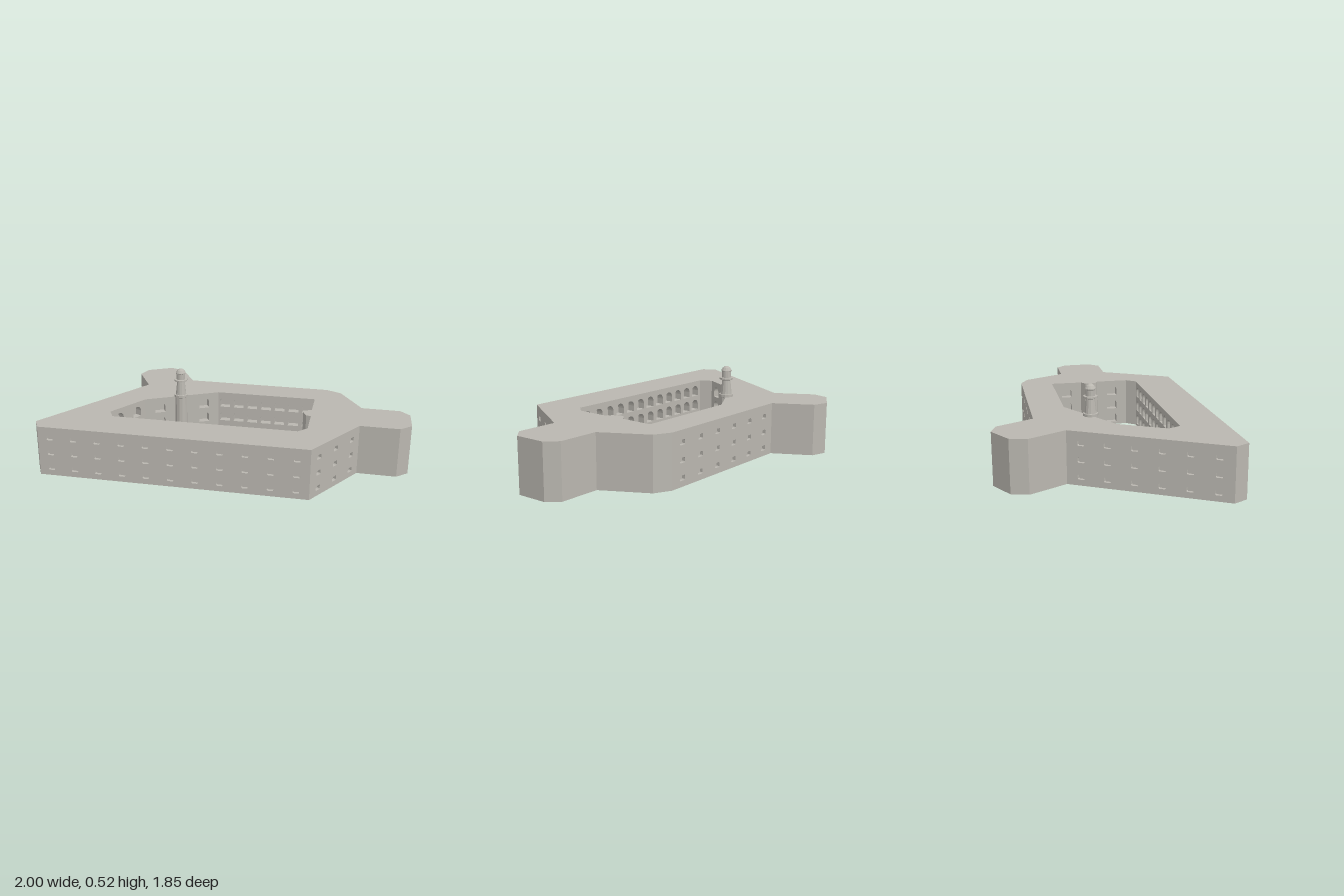
import * as THREE from 'three';
import { mergeGeometries } from 'three/addons/utils/BufferGeometryUtils.js';

const H = 0.32;
const ROWS = [0.05, 0.15, 0.25];

// Rampart outline [x, z]; optional third value: [columns, first, last] of gun slits in the wall starting there
const OUTER = [
  [-0.585, 0.925, [11, 0.046, 0.954]], [0.81, -0.02, null], [0.775, -0.525],
  [0.98, -0.66], [1.0, -0.755], [0.89, -0.905], [0.80, -0.925], [0.595, -0.79],
  [0.32, -0.925], [0.21, -0.91, [6, 0.09, 0.91]], [-0.59, -0.375], [-0.82, -0.49],
  [-0.92, -0.46], [-1.0, -0.30], [-0.965, -0.20], [-0.735, -0.085, [6, 0.09, 0.91]],
  [-0.67, 0.88],
];
OUTER[1][2] = [3, 0.165, 0.84];

// Courtyard outline, with columns of arches
const INNER = [
  [0.275, -0.70, [1, 0.5, 0.5]], [0.39, -0.53], [0.37, -0.485], [0.38, -0.455],
  [0.43, -0.425], [0.46, -0.435, [1, 0.5, 0.5]], [0.58, -0.26],
  [0.57, -0.18, [12, 0.05, 0.95]], [-0.41, 0.48], [-0.485, 0.44, [2, 0.25, 0.75]],
  [-0.51, 0.13, [2, 0.2, 0.8]], [-0.275, -0.33, [7, 0.07, 0.93]],
];

// Counter-clockwise opening outlines around a centre
function slitPoints(u, y) {
  const w = 0.021, h = 0.015, c = 0.005;
  return [[-w + c, -h], [w - c, -h], [w, -h + c], [w, h - c], [w - c, h], [-w + c, h], [-w, h - c], [-w, -h + c]]
    .map(([a, b]) => new THREE.Vector2(u + a, y + b));
}

function archPoints(u, y) {
  const r = 0.035, base = y - 0.034, spring = y + 0.002;
  const pts = [new THREE.Vector2(u - r, base), new THREE.Vector2(u + r, base)];
  for (let i = 0; i <= 10; i++) {
    const a = Math.PI * i / 10;
    pts.push(new THREE.Vector2(u + r * Math.cos(a), spring + r * Math.sin(a)));
  }
  return pts;
}

// Reveal and back plate of one recessed opening
function recess(points, depth) {
  const pos = [];
  points.forEach((p, i) => {
    const q = points[(i + 1) % points.length];
    pos.push(p.x, p.y, 0, q.x, q.y, 0, q.x, q.y, -depth);
    pos.push(p.x, p.y, 0, q.x, q.y, -depth, p.x, p.y, -depth);
  });
  const sides = new THREE.BufferGeometry();
  sides.setAttribute('position', new THREE.Float32BufferAttribute(pos, 3));
  sides.computeVertexNormals();
  const back = new THREE.ShapeGeometry(new THREE.Shape(points)).toNonIndexed();
  back.deleteAttribute('uv');
  back.translate(0, 0, -depth);
  return [sides, back];
}

// All walls along a closed outline, each pierced by rows of openings
function wallRing(outline, opening, depth) {
  const parts = [];
  outline.forEach(([ax, az, cols], i) => {
    const [bx, bz] = outline[(i + 1) % outline.length];
    const len = Math.hypot(bx - ax, bz - az);
    const u = new THREE.Vector3((bx - ax) / len, 0, (bz - az) / len);
    const up = new THREE.Vector3(0, 1, 0);
    const place = new THREE.Matrix4().makeBasis(u, up, u.clone().cross(up)).setPosition(ax, 0, az);
    const panel = new THREE.Shape([[0, 0], [len, 0], [len, H], [0, H]].map(p => new THREE.Vector2(...p)));
    const pieces = [];
    if (cols) {
      const [n, t0, t1] = cols;
      for (let c = 0; c < n; c++) {
        const t = n > 1 ? t0 + (t1 - t0) * c / (n - 1) : t0;
        for (const y of ROWS) {
          const pts = opening(t * len, y);
          panel.holes.push(new THREE.Path(pts));
          pieces.push(...recess(pts, depth));
        }
      }
    }
    const face = new THREE.ShapeGeometry(panel).toNonIndexed();
    face.deleteAttribute('uv');
    pieces.push(face);
    pieces.forEach(g => parts.push(g.applyMatrix4(place)));
  });
  return mergeGeometries(parts);
}

// Flat ring between both outlines; sign -1 faces up, +1 faces down
function slab(sign, y) {
  const pts = o => o.map(([x, z]) => new THREE.Vector2(x, sign * z));
  const shape = new THREE.Shape(pts(OUTER));
  shape.holes.push(new THREE.Path(pts(INNER)));
  return new THREE.ShapeGeometry(shape).rotateX(sign * Math.PI / 2).translate(0, y, 0);
}

export function createModel() {
  const group = new THREE.Group();
  const stone = new THREE.MeshStandardMaterial({ color: 0xbab7b0 });
  stone.name = 'stone';
  stone.flatShading = true;

  const add = (name, geometry, parent = group) => {
    const mesh = new THREE.Mesh(geometry, stone);
    mesh.name = name;
    parent.add(mesh);
    return mesh;
  };

  add('outerWalls', wallRing(OUTER, slitPoints, 0.02));
  add('courtyardWalls', wallRing(INNER, archPoints, 0.05));
  add('roofTerrace', slab(-1, H));
  add('underside', slab(1, 0));

  // Lighthouse rising from the courtyard wall
  const lighthouse = new THREE.Group();
  lighthouse.name = 'lighthouse';
  lighthouse.position.set(-0.395, 0, -0.09);
  group.add(lighthouse);
  const turned = (name, profile) =>
    add(name, new THREE.LatheGeometry(profile.map(p => new THREE.Vector2(...p)), 12), lighthouse);
  turned('stairColumn', [[0, 0], [0.041, 0], [0.041, 0.32]]);
  turned('towerBase', [[0.041, 0.318], [0.046, 0.32], [0.046, 0.336], [0.036, 0.337]]);
  turned('towerShaft', [[0.036, 0.337], [0.026, 0.43]]);
  turned('gallery', [[0.026, 0.425], [0.044, 0.432], [0.044, 0.442], [0.029, 0.443]]);
  turned('lanternRoom', [[0.029, 0.443], [0.029, 0.482]]);
  turned('lanternRoof', [[0.029, 0.48], [0.034, 0.483], [0.034, 0.489], [0.024, 0.505], [0.012, 0.514], [0, 0.516]]);

  return group;
}
